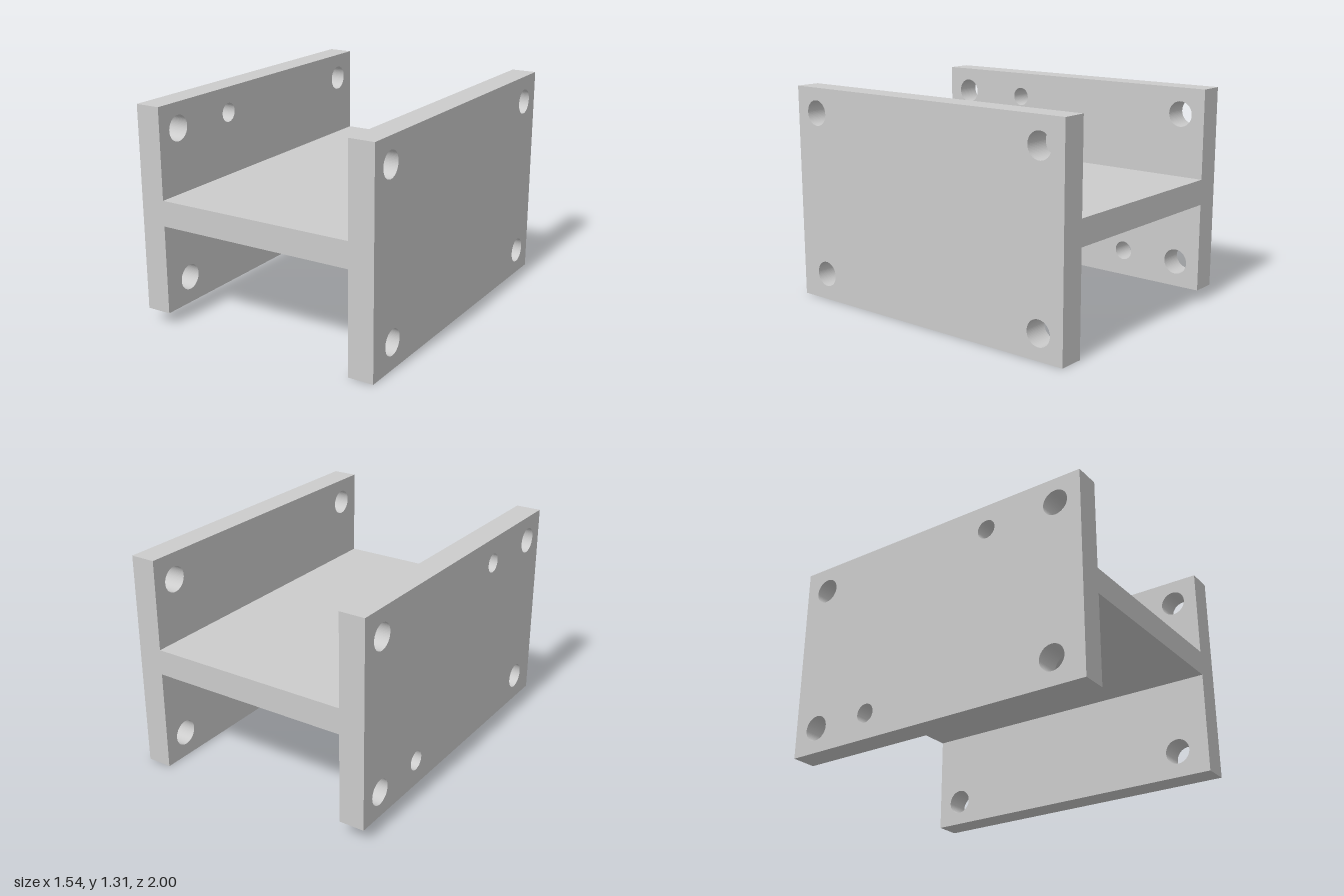
import * as THREE from 'three';

const T = 0.154;      // plate thickness
const HALF_W = 0.769; // half of overall width
const TOP = 1.31;

// Upright plate from x0 to x0 + T, drilled with holes given as [z, y, radius]
function sidePlate(name, x0, bottom, holes, material) {
  const shape = new THREE.Shape();
  shape.moveTo(-1, bottom);
  shape.lineTo(1, bottom);
  shape.lineTo(1, TOP);
  shape.lineTo(-1, TOP);
  shape.closePath();
  for (const [z, y, r] of holes) {
    shape.holes.push(new THREE.Path().absarc(-z, y, r, 0, Math.PI * 2, true));
  }
  const geometry = new THREE.ExtrudeGeometry(shape, { depth: T, bevelEnabled: false, curveSegments: 32 });
  geometry.rotateY(Math.PI / 2); // shape x becomes -z, extrusion runs along +x
  geometry.translate(x0, 0, 0);
  const mesh = new THREE.Mesh(geometry, material);
  mesh.name = name;
  return mesh;
}

export function createModel() {
  const group = new THREE.Group();
  group.name = 'bracket';
  const material = new THREE.MeshStandardMaterial({ color: 0xcccccc });
  const R = 0.077, SMALL = 0.058;
  const upperHoles = [[0.84, 1.157, R], [-0.84, 1.15, R]];

  // Taller plate with four corner holes
  group.add(sidePlate('leftPlate', HALF_W - T, 0,
    [...upperHoles, [0.8, 0.162, R], [-0.84, 0.155, R]], material));

  // Shorter plate with four corner holes and two smaller ones
  group.add(sidePlate('rightPlate', -HALF_W, 0.077,
    [...upperHoles, [0.8, 0.238, R], [-0.84, 0.232, R], [0.38, 1.154, SMALL], [-0.46, 0.236, SMALL]], material));

  // Horizontal web joining the plates
  const web = new THREE.Mesh(new THREE.BoxGeometry(2 * (HALF_W - T), T, 2), material);
  web.position.y = 0.692;
  web.name = 'web';
  group.add(web);

  return group;
}
